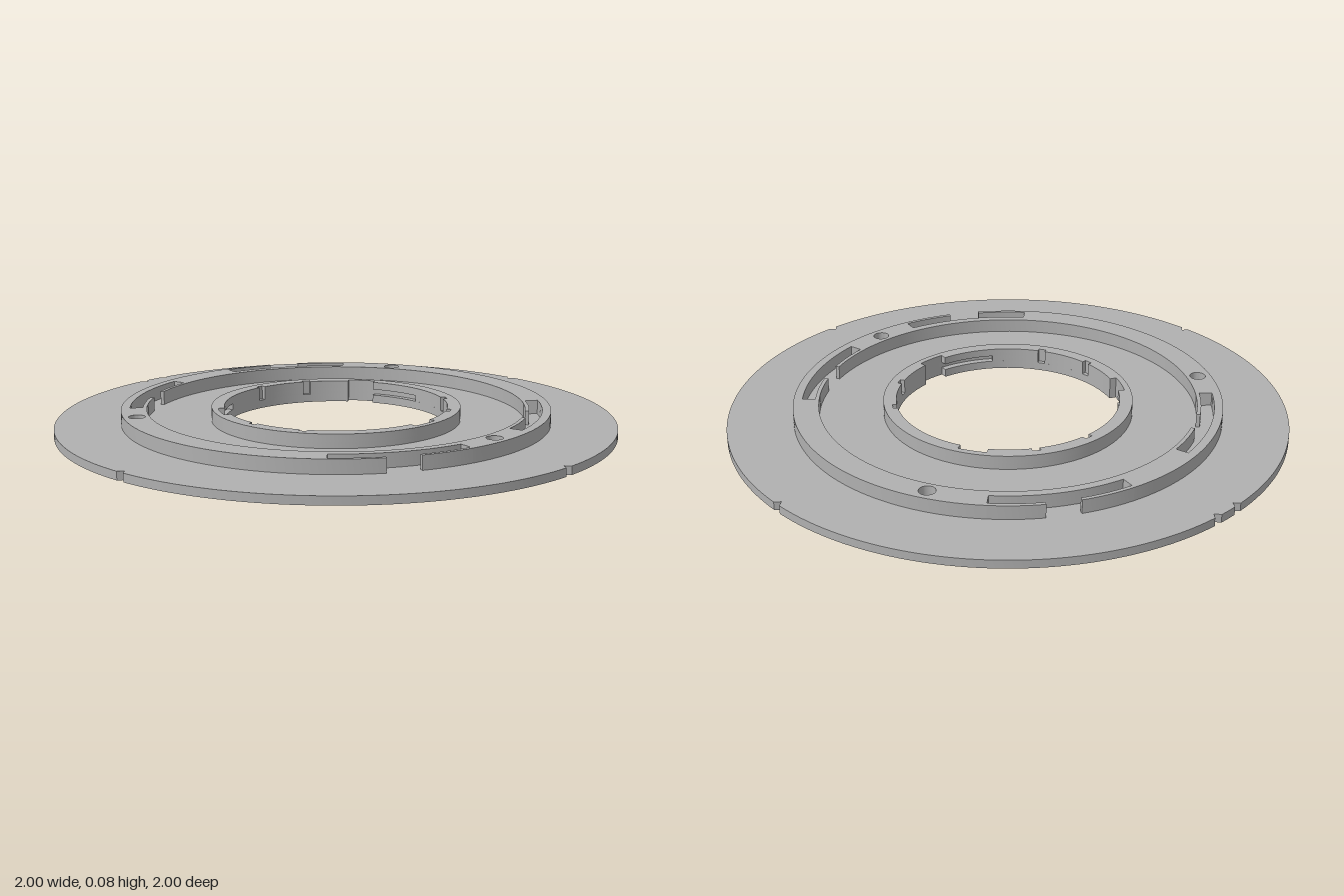
import * as THREE from 'three';
import { toCreasedNormals } from 'three/addons/utils/BufferGeometryUtils.js';

const RAD = Math.PI / 180;
const polar = (r, deg) => new THREE.Vector2(r * Math.cos(deg * RAD), r * Math.sin(deg * RAD));

function arc(r, from, to) {
  const n = Math.max(1, Math.ceil((to - from) / 2));
  return Array.from({ length: n + 1 }, (_, i) => polar(r, from + (to - from) * i / n));
}

// Round outline whose radius changes inside each cut [start, end, radius]
function outline(radius, cuts = []) {
  if (!cuts.length) return arc(radius, 0, 360).slice(0, -1);
  const sorted = [...cuts].sort((a, b) => a[0] - b[0]);
  const points = [];
  sorted.forEach(([start, end, r], i) => {
    const next = i + 1 < sorted.length ? sorted[i + 1][0] : sorted[0][0] + 360;
    points.push(...arc(r, start, end), ...arc(radius, end, next));
  });
  return points;
}

export function createModel() {
  const group = new THREE.Group();
  const grey = new THREE.MeshStandardMaterial({ color: 0xb0b0b0 });
  grey.name = 'grey';

  // Extrude a flat outline with holes upward from y0 to y1
  function slab(name, points, holes, y0, y1) {
    const shape = new THREE.Shape(points);
    holes.forEach(h => shape.holes.push(new THREE.Path(h)));
    const geo = new THREE.ExtrudeGeometry(shape, { depth: y1 - y0, bevelEnabled: false });
    geo.rotateX(-Math.PI / 2).translate(0, y0, 0);
    const mesh = new THREE.Mesh(toCreasedNormals(geo, 0.4), grey);
    mesh.name = name;
    group.add(mesh);
  }

  // Three screw holes through plate and raised ring
  const screwHoles = [25.5, 149.8, 270].map(a => {
    const c = polar(0.718, a);
    return Array.from({ length: 24 }, (_, i) => polar(0.029, i * 15).add(c));
  });

  // Bore notches, grooves and bayonet channels, three of each
  const thirds = [30, 150, 270];
  const notches = thirds.map(a => [a - 7, a + 7, 0.424]);
  const channels = thirds.map(a => [a - 35, a + 7, 0.424]);
  const grooves = thirds.flatMap(a => [
    [a + 28, a + 32, 0.416], [a + 56, a + 60, 0.416],
  ]);

  // Base plate, with small V nicks in the rim
  const rim = [];
  const nicks = [-1.4, 88.3, 94, 181.2, 271.3];
  nicks.forEach((a, i) => {
    const next = i + 1 < nicks.length ? nicks[i + 1] : nicks[0] + 360;
    rim.push(polar(0.98, a), ...arc(1, a + 0.9, next - 0.9));
  });
  slab('basePlate', rim, [outline(0.4, notches), ...screwHoles], 0, 0.03);

  // Inner collar: lower band with bayonet channels, upper band as the lip
  const collar = outline(0.446);
  slab('collarLower', collar, [outline(0.4, [...channels, ...grooves])], 0.03, 0.052);
  slab('collarUpper', collar, [outline(0.4, [...notches, ...grooves])], 0.052, 0.08);

  // Raised ring, recessed outside at two places and inside at two others
  const half = 18.5, gap = 4.4;
  const outside = [60, 240], inside = [120, 300];
  const recess = (list, r) => list.map(a => [a - half, a + half, r]);
  slab('raisedRing', outline(0.766, recess(outside, 0.705)),
    [outline(0.675, recess(inside, 0.735)), ...screwHoles], 0.03, 0.08);

  // Thin lips that close each recess except for a central opening
  function lips(centre, r0, r1) {
    [[centre - half, centre - gap], [centre + gap, centre + half]].forEach(([from, to]) =>
      slab('slotLip', [...arc(r1, from, to), ...arc(r0, from, to).reverse()], [], 0.03, 0.08));
  }
  outside.forEach(a => lips(a, 0.752, 0.766));
  inside.forEach(a => lips(a, 0.675, 0.689));

  return group;
}
